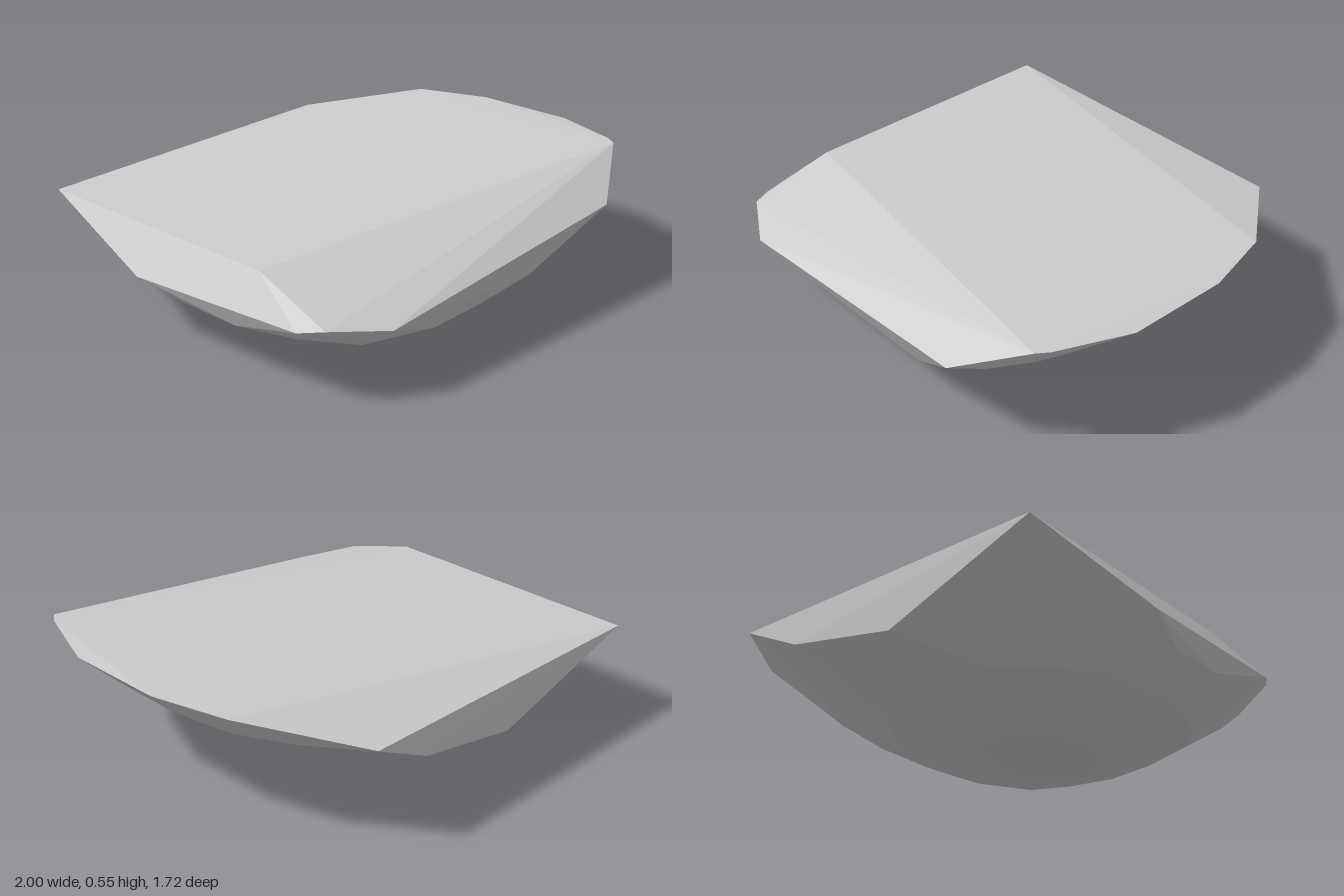
import * as THREE from 'three';
import { ConvexGeometry } from 'three/addons/geometries/ConvexGeometry.js';

export function createModel() {
  const points = [];
  const add = (x, y, z) => points.push(new THREE.Vector3(x, y, z));

  // Corners of the broad sloping top and the rim around it
  [
    [-0.89, 0.43, -0.84], [-0.89, 0.43, 0.35], [0.85, 0.55, 0.71], [0.885, 0.55, 0.66],
    [1, 0.54, 0.35], [1, 0.54, -0.09], [0.91, 0.533, -0.41], [0.575, 0.44, -0.835],
    [-1, 0.265, -0.22], [-0.975, 0.3, 0.62], [-0.92, 0.315, 0.71],
    [-0.705, 0.285, 0.84], [0.65, 0.43, 0.81],
  ].forEach((p) => add(...p));

  // Lower corners of the cleaved back and front faces
  [
    [-0.2, 0.2, -0.82], [0.3, 0.3, -0.83],
    [-0.32, 0.11, 0.71], [-0.05, 0.11, 0.71], [0.23, 0.16, 0.75],
  ].forEach((p) => add(...p));

  // Rounded underside: staggered rings [height, x radius, z radius, count]
  const rings = [
    [0, 0.23, 0.3, 10], [0.055, 0.45, 0.49, 14], [0.105, 0.605, 0.66, 16],
    [0.2, 0.775, 0.8, 18], [0.29, 0.92, 0.95, 20], [0.4, 1.05, 1.06, 20],
  ];
  rings.forEach(([y, rx, rz, count], ring) => {
    for (let i = 0; i < count; i++) {
      const a = ((i + (ring % 2) * 0.5) / count) * Math.PI * 2;
      const x = -0.18 + rx * Math.cos(a);
      const z = 0.13 + rz * Math.sin(a);
      const frontLimit = 0.71 + Math.max(0, y - 0.11) * 0.74;
      if (z > frontLimit || z < -0.8) continue;
      // The upper rings exist only beneath the raised side
      if (y > 0.25 && x < 0.3) continue;
      add(x, y, z);
    }
  });

  const stone = new THREE.Mesh(
    new ConvexGeometry(points),
    new THREE.MeshStandardMaterial({ color: 0xcccccc, flatShading: true }),
  );
  stone.name = 'cleavedStone';

  const group = new THREE.Group();
  group.name = 'stoneSlab';
  group.add(stone);
  return group;
}
